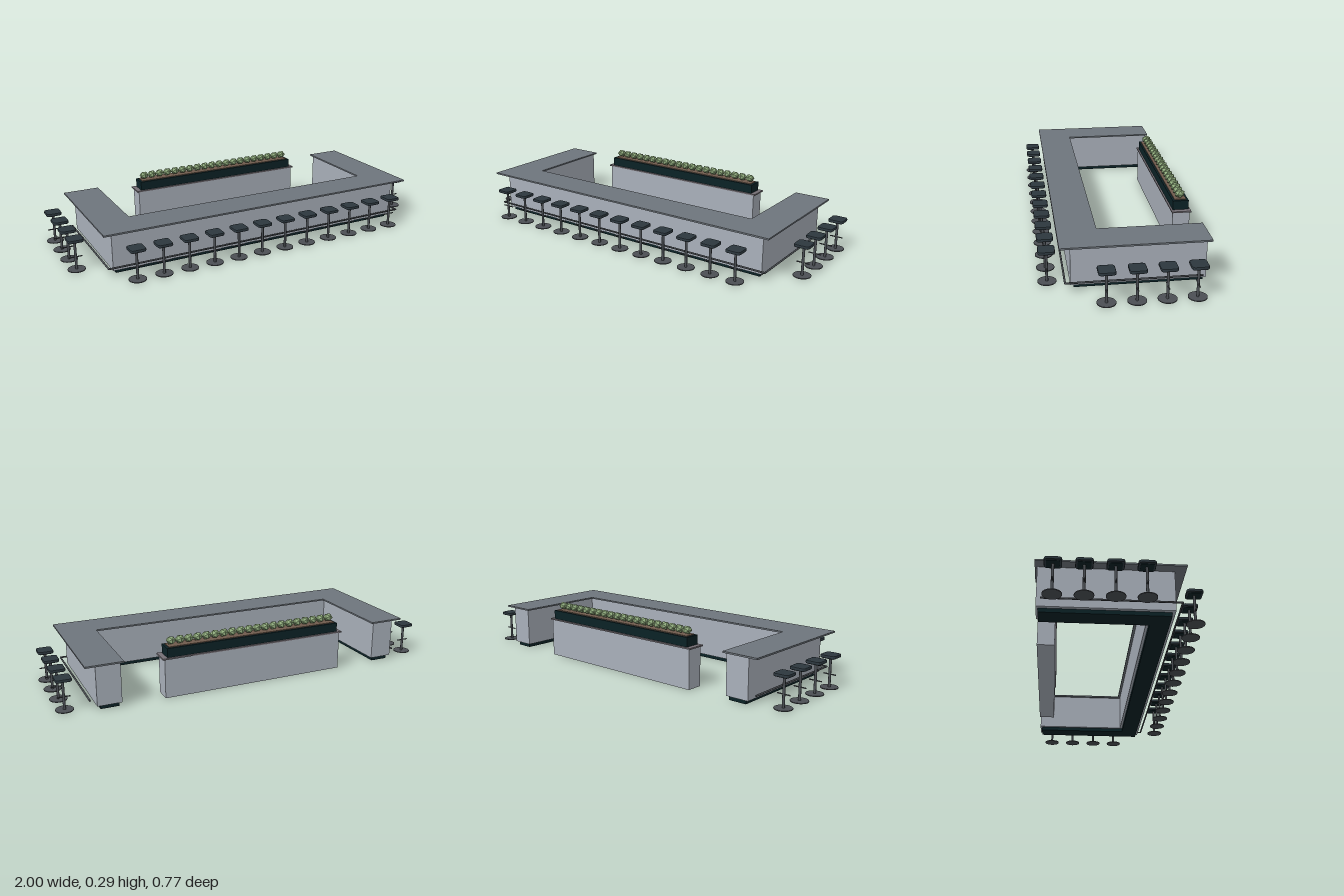
import * as THREE from 'three';

const mat = (name, color) => {
  const m = new THREE.MeshStandardMaterial({ color });
  m.name = name;
  return m;
};

export function createModel() {
  const root = new THREE.Group();
  root.name = 'barCounter';

  const panel = mat('palePanel', 0xa9b0ba);
  const stone = mat('greyTop', 0x6e757c);
  const dark = mat('blackGreen', 0x0b2226);
  const cushion = mat('cushion', 0x2c373e);
  const metal = mat('darkMetal', 0x4b4f54);
  const soilMat = mat('soil', 0x6f5a4c);
  const ledgeMat = mat('ledge', 0x757076);
  const leaf = mat('leaf', 0x8fab7c);

  const add = (parent, name, geo, material, x = 0, y = 0, z = 0) => {
    const m = new THREE.Mesh(geo, material);
    m.name = name;
    m.position.set(x, y, z);
    parent.add(m);
    return m;
  };

  // U-shaped slab in plan, open to the back
  const uSlab = (outerX, frontZ, innerX, innerZ, backZ, height) => {
    const s = new THREE.Shape([
      [-outerX, -frontZ], [outerX, -frontZ], [outerX, -backZ], [innerX, -backZ],
      [innerX, -innerZ], [-innerX, -innerZ], [-innerX, -backZ], [-outerX, -backZ],
    ].map(([x, y]) => new THREE.Vector2(x, y)));
    return new THREE.ExtrudeGeometry(s, { depth: height, bevelEnabled: false }).rotateX(-Math.PI / 2);
  };

  // Counter
  add(root, 'kickBase', uSlab(0.803, 0.227, 0.712, 0.136, -0.362, 0.02), dark);
  add(root, 'counterBody', uSlab(0.82, 0.243, 0.70, 0.123, -0.372, 0.199), panel, 0, 0.02);
  add(root, 'counterTop', uSlab(0.87, 0.293, 0.685, 0.11, -0.383, 0.008), stone, 0, 0.219);

  // Foot rail round the outside
  const railR = 0.0045, railY = 0.046, railX = 0.848, railZ = 0.268, railBack = -0.352;
  add(root, 'frontRail', new THREE.CylinderGeometry(railR, railR, railX * 2, 10).rotateZ(Math.PI / 2),
    metal, 0, railY, railZ);
  for (const side of [-1, 1]) {
    add(root, 'sideRail', new THREE.CylinderGeometry(railR, railR, railZ - railBack, 10).rotateX(Math.PI / 2),
      metal, side * railX, railY, (railZ + railBack) / 2);
    add(root, 'railCorner', new THREE.SphereGeometry(railR, 10, 8), metal, side * railX, railY, railZ);
  }

  // Back cabinet with planter
  const backZ = -0.33;
  add(root, 'backCabinet', new THREE.BoxGeometry(0.97, 0.197, 0.084), panel, 0, 0.0985, backZ);
  add(root, 'backLedge', new THREE.BoxGeometry(0.99, 0.007, 0.095), ledgeMat, 0, 0.2005, backZ);
  add(root, 'planter', new THREE.BoxGeometry(0.94, 0.046, 0.078), dark, 0, 0.227, backZ);
  add(root, 'planterSoil', new THREE.BoxGeometry(0.915, 0.004, 0.058), soilMat, 0, 0.252, backZ);
  const bush = new THREE.IcosahedronGeometry(0.027, 0).scale(0.9, 0.8, 1);
  for (let i = 0; i < 20; i++) {
    add(root, 'plant', bush, leaf, -0.437 + i * 0.046, 0.275, backZ);
  }

  // Rounded square cushion
  const h = 0.034, r = 0.012;
  const sq = new THREE.Shape();
  sq.moveTo(-h + r, -h);
  sq.lineTo(h - r, -h);
  sq.quadraticCurveTo(h, -h, h, -h + r);
  sq.lineTo(h, h - r);
  sq.quadraticCurveTo(h, h, h - r, h);
  sq.lineTo(-h + r, h);
  sq.quadraticCurveTo(-h, h, -h, h - r);
  sq.lineTo(-h, -h + r);
  sq.quadraticCurveTo(-h, -h, -h + r, -h);
  const seatGeo = new THREE.ExtrudeGeometry(sq, {
    depth: 0.006, bevelThickness: 0.005, bevelSize: 0.005, bevelSegments: 2, curveSegments: 4,
  }).rotateX(-Math.PI / 2);
  const underGeo = new THREE.BoxGeometry(0.058, 0.006, 0.058);
  const postGeo = new THREE.CylinderGeometry(0.0065, 0.0065, 0.146, 12);
  const baseGeo = new THREE.CylinderGeometry(0.043, 0.043, 0.004, 24);
  const barGeo = new THREE.CylinderGeometry(0.0032, 0.0032, 0.064, 8).rotateZ(Math.PI / 2);

  const addStool = (x, z) => {
    const stool = new THREE.Group();
    stool.name = 'stool';
    stool.position.set(x, 0, z);
    add(stool, 'stoolBase', baseGeo, metal, 0, 0.002);
    add(stool, 'stoolPost', postGeo, metal, 0, 0.075);
    add(stool, 'stoolFootBar', barGeo, metal, 0, 0.066);
    add(stool, 'seatPlate', underGeo, dark, 0, 0.15);
    add(stool, 'seat', seatGeo, cushion, 0, 0.154);
    root.add(stool);
  };

  // Twelve stools in front, four on each side
  for (let i = 0; i < 12; i++) addStool(-0.735 + i * 0.13364, 0.342);
  for (const side of [-1, 1]) {
    for (let i = 0; i < 4; i++) addStool(side * 0.957, 0.1 - i * 0.1335);
  }

  return root;
}
